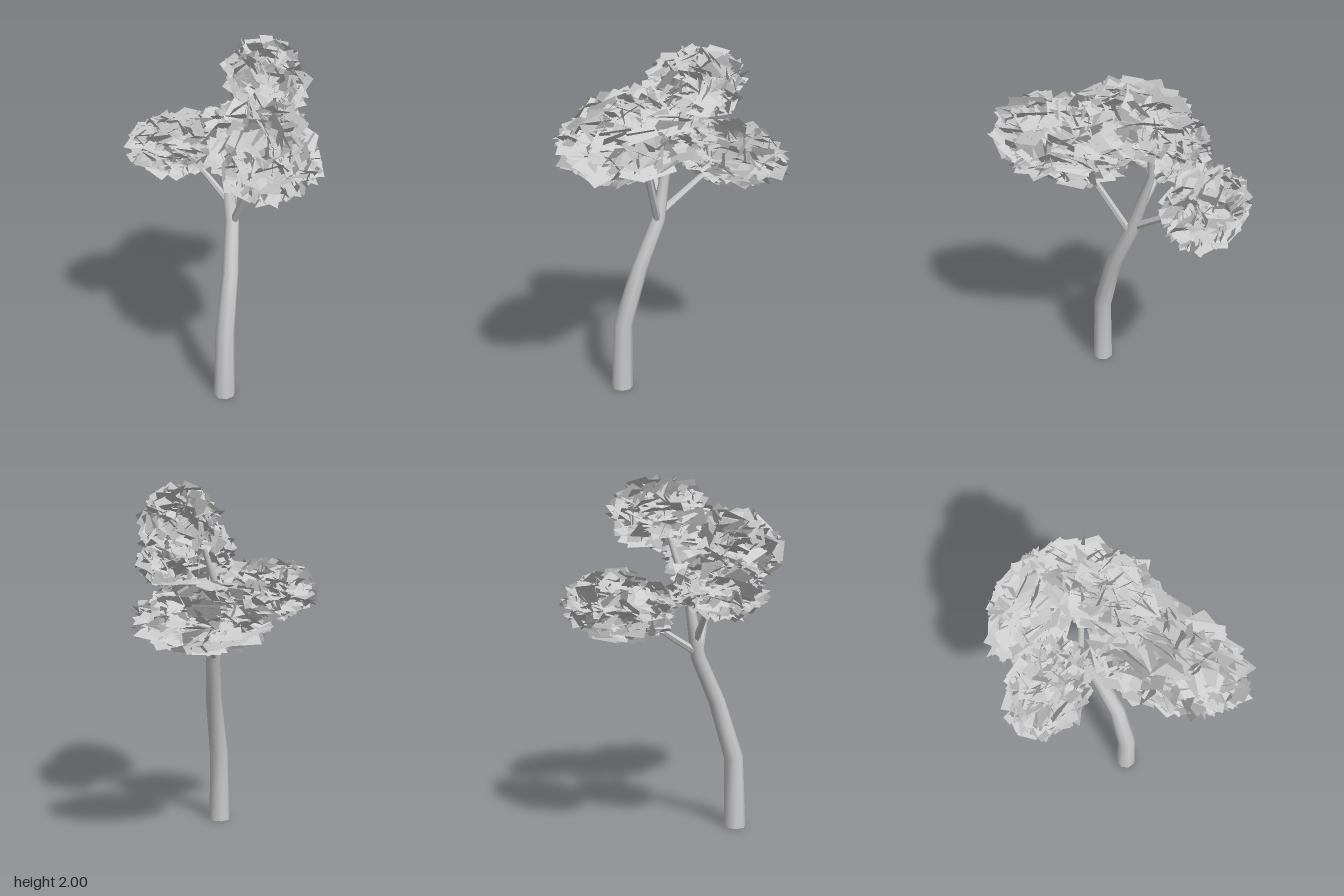
import * as THREE from 'three';
import { toCreasedNormals } from 'three/addons/utils/BufferGeometryUtils.js';

const V = (x, y, z) => new THREE.Vector3(x, y, z);
const UP = V(0, 1, 0);

// Small seeded generator so the foliage is always the same
function seeded(seed) {
  let s = seed;
  return () => {
    s = (s * 1664525 + 1013904223) % 4294967296;
    return s / 4294967296;
  };
}

// Tapered limb: each row of a cylinder is moved onto a joint [x, y, z, radius]
function limb(name, joints, sides, material) {
  const n = joints.length - 1;
  const pts = joints.map(([x, y, z]) => V(x, y, z));
  const frames = pts.map((p, i) => {
    const t = pts[Math.min(i + 1, n)].clone().sub(pts[Math.max(i - 1, 0)]).normalize();
    const flatFoot = joints[i][1] === 0;
    return new THREE.Quaternion().setFromUnitVectors(UP, flatFoot ? UP : t);
  });
  const geo = new THREE.CylinderGeometry(1, 1, 1, sides, n);
  const pos = geo.attributes.position;
  const v = V(0, 0, 0);
  for (let k = 0; k < pos.count; k++) {
    v.fromBufferAttribute(pos, k);
    const i = Math.round((v.y + 0.5) * n);
    v.setY(0).multiplyScalar(joints[i][3]).applyQuaternion(frames[i]).add(pts[i]);
    pos.setXYZ(k, v.x, v.y, v.z);
  }
  const mesh = new THREE.Mesh(toCreasedNormals(geo, 1), material);
  mesh.name = name;
  return mesh;
}

// Leaf cluster: randomly turned squares filling a ball, stretched to an ellipsoid
function leafCluster({ name, centre, radii, turn, count, seed }, material) {
  const rand = seeded(seed);
  const positions = [];
  const q = new THREE.Quaternion();
  const randomTurn = () => {
    const a = rand(), b = rand() * Math.PI * 2, c = rand() * Math.PI * 2;
    return q.set(
      Math.sqrt(1 - a) * Math.sin(b), Math.sqrt(1 - a) * Math.cos(b),
      Math.sqrt(a) * Math.sin(c), Math.sqrt(a) * Math.cos(c));
  };
  const order = [[-1, -1], [1, -1], [1, 1], [-1, -1], [1, 1], [-1, 1]];
  for (let i = 0; i < count; i++) {
    const mid = V(0, 0.82 * Math.pow(rand(), 0.22), 0).applyQuaternion(randomTurn());
    const half = 0.16 + 0.08 * rand();
    randomTurn();
    for (const [a, b] of order) {
      const c = V(a * half, b * half, 0).applyQuaternion(q).add(mid);
      positions.push(c.x, c.y, c.z);
    }
  }
  const geo = new THREE.BufferGeometry();
  geo.setAttribute('position', new THREE.Float32BufferAttribute(positions, 3));
  geo.scale(...radii).rotateY(turn).translate(...centre);
  geo.computeVertexNormals();
  const mesh = new THREE.Mesh(geo, material);
  mesh.name = name;
  return mesh;
}

export function createModel() {
  const tree = new THREE.Group();
  tree.name = 'tree';
  const bark = new THREE.MeshStandardMaterial({ color: 0xcccccc });
  const leaf = new THREE.MeshStandardMaterial({
    color: 0xcccccc, side: THREE.DoubleSide, flatShading: true,
  });

  // Leaning trunk that runs on into the top cluster
  tree.add(limb('trunk', [
    [0.022, 0, 0.325, 0.062], [0.022, 0.41, 0.312, 0.054], [-0.01, 0.75, 0.21, 0.046],
    [-0.075, 1.01, 0.103, 0.04], [-0.165, 1.36, 0.045, 0.023], [-0.1, 1.75, -0.08, 0.012],
  ], 8, bark));

  // Side branches, one for each lower cluster
  const branches = {
    frontBranch: [[-0.07, 0.99, 0.105, 0.022], [0.13, 1.36, 0.17, 0.018], [0.24, 1.57, 0.22, 0.01]],
    backBranch: [[-0.09, 1.04, 0.09, 0.022], [-0.22, 1.22, -0.16, 0.017], [-0.28, 1.31, -0.28, 0.01]],
    sideBranch: [[-0.11, 1.11, 0.09, 0.02], [-0.22, 1.25, 0.13, 0.016], [-0.34, 1.4, 0.18, 0.01]],
  };
  for (const [name, joints] of Object.entries(branches)) tree.add(limb(name, joints, 6, bark));

  // Foliage
  const q = Math.PI / 4;
  const clusters = [
    { name: 'frontFoliage', centre: [0.235, 1.58, 0.265], radii: [0.43, 0.245, 0.285], turn: -q, count: 600, seed: 11 },
    { name: 'topFoliage', centre: [0.01, 1.785, -0.09], radii: [0.34, 0.21, 0.22], turn: -q, count: 500, seed: 23 },
    { name: 'backFoliage', centre: [-0.305, 1.32, -0.32], radii: [0.365, 0.19, 0.225], turn: q, count: 520, seed: 37 },
    { name: 'sideFoliage', centre: [-0.37, 1.42, 0.19], radii: [0.285, 0.175, 0.215], turn: q, count: 480, seed: 51 },
  ];
  for (const c of clusters) tree.add(leafCluster(c, leaf));
  return tree;
}
